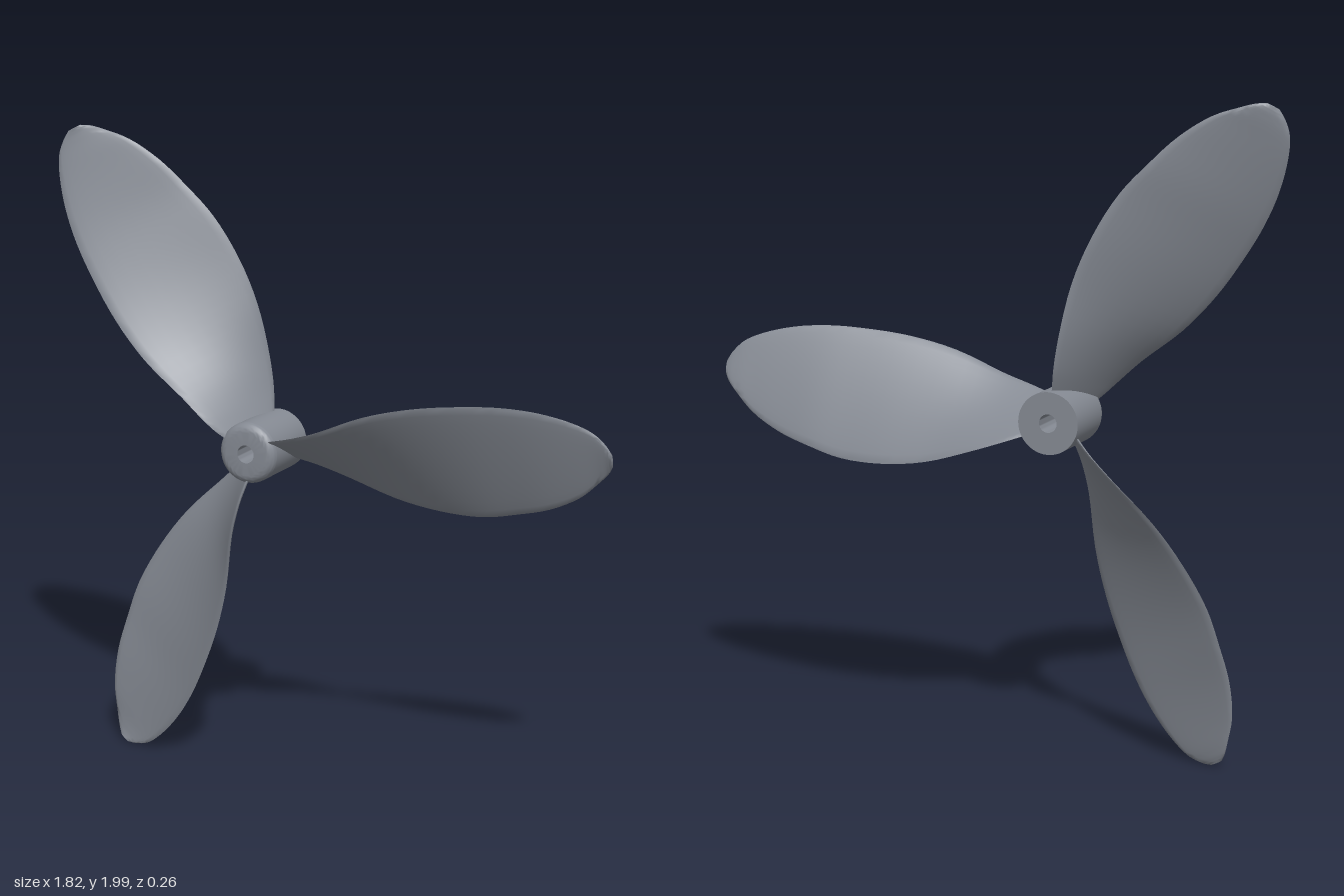
import * as THREE from 'three';
import { toCreasedNormals } from 'three/addons/utils/BufferGeometryUtils.js';

const material = new THREE.MeshStandardMaterial({ color: 0x858a93 });
const HALF_THICKNESS = 0.007;

// Blade stations: radius, leading edge (y, z), trailing edge (y, z)
const STATIONS = [
  [0.06, 0.04, 0.09, -0.04, -0.085],
  [0.10, 0.053, 0.111, -0.053, -0.102],
  [0.15, 0.067, 0.125, -0.07, -0.119],
  [0.24, 0.095, 0.13, -0.10, -0.13],
  [0.40, 0.16, 0.122, -0.148, -0.124],
  [0.55, 0.197, 0.107, -0.168, -0.113],
  [0.70, 0.215, 0.087, -0.165, -0.095],
  [0.82, 0.22, 0.069, -0.138, -0.078],
  [0.93, 0.211, 0.051, -0.105, -0.059],
  [1.03, 0.187, 0.033, -0.053, -0.041],
  [1.09, 0.16, 0.022, 0.0, -0.028],
  [1.125, 0.125, 0.013, 0.036, -0.017],
  [1.14, 0.10, 0.008, 0.06, -0.006],
];

// Twisted thin blade along +x, skinned over rounded cross-sections
function bladeGeometry(steps = 48, sides = 24) {
  const edge = (k) => new THREE.CatmullRomCurve3(
    STATIONS.map((s) => new THREE.Vector3(s[0], s[k], s[k + 1])), false, 'centripetal');
  const lead = edge(1), trail = edge(3);
  const positions = [], index = [];
  const axis = new THREE.Vector3(1, 0, 0);

  for (let i = 0; i <= steps; i++) {
    const a = lead.getPoint(i / steps), b = trail.getPoint(i / steps);
    const mid = a.clone().add(b).multiplyScalar(0.5);
    const chord = a.clone().sub(b).multiplyScalar(0.5);
    const normal = axis.clone().cross(chord).normalize();
    for (let j = 0; j < sides; j++) {
      const t = (j / sides) * Math.PI * 2, s = Math.sin(t);
      const h = Math.sign(s) * Math.pow(Math.abs(s), 0.6) * HALF_THICKNESS;
      const p = mid.clone().addScaledVector(chord, Math.cos(t)).addScaledVector(normal, h);
      positions.push(p.x, p.y, p.z);
    }
  }
  for (let i = 0; i < steps; i++) {
    for (let j = 0; j < sides; j++) {
      const k = (j + 1) % sides;
      const a = i * sides + j, b = i * sides + k, c = a + sides, d = b + sides;
      index.push(a, b, c, b, d, c);
    }
  }
  // End caps
  const last = steps * sides;
  for (let j = 1; j < sides - 1; j++) {
    index.push(0, j + 1, j, last, last + j, last + j + 1);
  }
  const geometry = new THREE.BufferGeometry();
  geometry.setAttribute('position', new THREE.Float32BufferAttribute(positions, 3));
  geometry.setIndex(index);
  return toCreasedNormals(geometry, 0.9);
}

// Bored cylinder with a rounded front rim, axis along z
function hubGeometry(radius = 0.095, bore = 0.028, back = -0.125, front = 0.105, fillet = 0.028) {
  const profile = [new THREE.Vector2(bore, back), new THREE.Vector2(radius, back)];
  for (let i = 0; i <= 8; i++) {
    const t = (i / 8) * Math.PI / 2;
    profile.push(new THREE.Vector2(
      radius - fillet + fillet * Math.cos(t), front - fillet + fillet * Math.sin(t)));
  }
  profile.push(new THREE.Vector2(bore, front), new THREE.Vector2(bore, back));
  return toCreasedNormals(new THREE.LatheGeometry(profile, 48).rotateX(Math.PI / 2), 0.6);
}

export function createModel() {
  const model = new THREE.Group();
  model.name = 'propeller';

  const rotor = new THREE.Group();
  rotor.name = 'rotor';
  rotor.position.set(-0.23, 1.042, 0);
  model.add(rotor);

  const hub = new THREE.Mesh(hubGeometry(), material);
  hub.name = 'hub';
  rotor.add(hub);

  // Three equal blades around the hub
  const geometry = bladeGeometry();
  for (let i = 0; i < 3; i++) {
    const blade = new THREE.Mesh(geometry, material);
    blade.name = `blade${i + 1}`;
    blade.rotation.z = (i * Math.PI * 2) / 3;
    rotor.add(blade);
  }
  return model;
}
